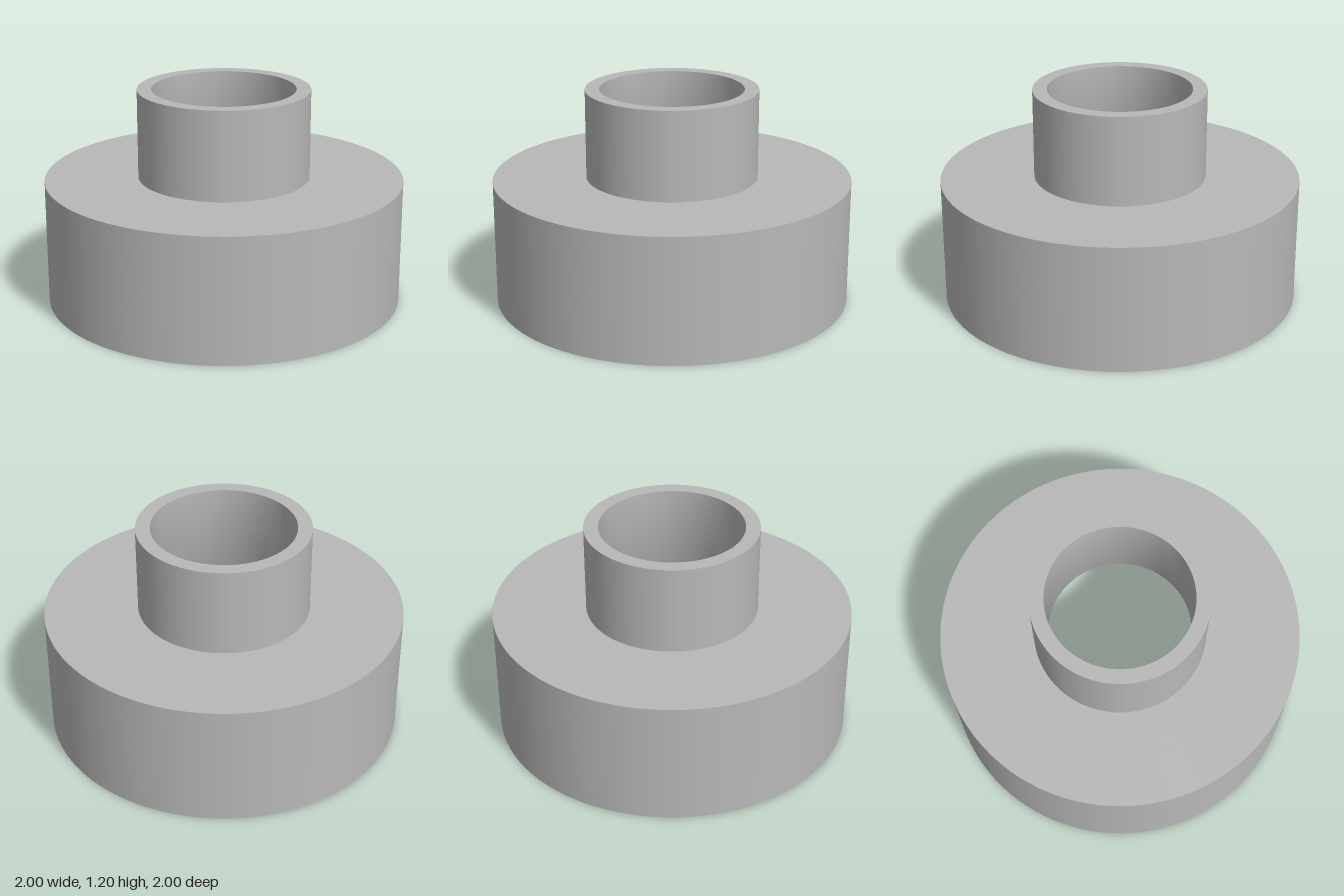
import * as THREE from 'three';

const SEGMENTS = 96;

export function createModel() {
  const group = new THREE.Group();
  group.name = 'flangedCollar';
  const grey = new THREE.MeshStandardMaterial({ color: 0xb8b8b8 });
  grey.name = 'plain grey';

  // Each surface of revolution is separate, so the rims stay sharp
  const addSurface = (name, profile) => {
    const points = profile.map(([r, y]) => new THREE.Vector2(r, y));
    const mesh = new THREE.Mesh(new THREE.LatheGeometry(points, SEGMENTS), grey);
    mesh.name = name;
    group.add(mesh);
  };

  addSurface('bottomRim', [[0.75, 0], [1, 0]]);
  addSurface('baseWall', [[1, 0], [1, 0.7]]);
  addSurface('shoulder', [[1, 0.7], [0.48, 0.7]]);
  addSurface('neckWall', [[0.48, 0.7], [0.48, 1.2]]);
  addSurface('neckRim', [[0.48, 1.2], [0.4, 1.2]]);
  // Straight neck hole blending into a cone that widens to the base
  addSurface('bore', [[0.4, 1.2], [0.4, 0.7], [0.75, 0]]);

  return group;
}
